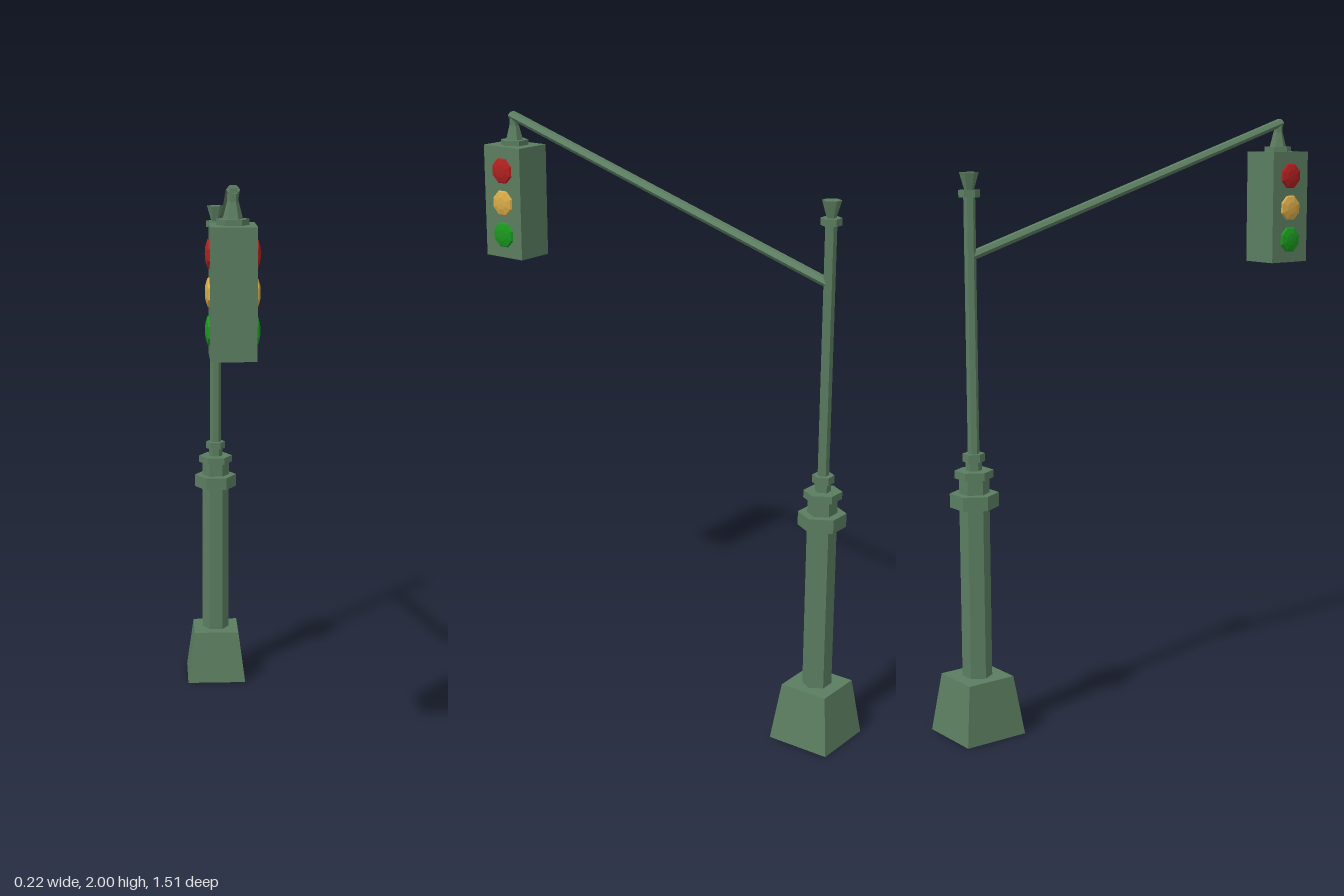
import * as THREE from 'three';

const POLE_Z = -0.643;
const LAMP_Z = 0.672;

export function createModel() {
  const model = new THREE.Group();
  model.name = 'trafficLight';

  const paint = (name, color) => {
    const m = new THREE.MeshStandardMaterial({ color, flatShading: true });
    m.name = name;
    return m;
  };
  const ironGreen = paint('ironGreen', 0x5b7d60);
  const red = paint('signalRed', 0xb02020);
  const amber = paint('signalAmber', 0xd8ab48);
  const green = paint('signalGreen', 0x1a981f);

  const add = (name, geometry, material, x, y, z, parent = model) => {
    const mesh = new THREE.Mesh(geometry, material);
    mesh.name = name;
    mesh.position.set(x, y, z);
    parent.add(mesh);
    return mesh;
  };

  // Six-sided section with corners on the x axis, from y0 to y1
  const hex = (name, y0, y1, rBottom, rTop, z, depth = 1) => {
    const g = new THREE.CylinderGeometry(rTop, rBottom, y1 - y0, 6);
    g.rotateY(Math.PI / 6).scale(1, 1, depth);
    return add(name, g, ironGreen, 0, (y0 + y1) / 2, z);
  };

  // Square tapered foot
  const foot = new THREE.CylinderGeometry(0.085 * Math.SQRT2, 0.111 * Math.SQRT2, 0.196, 4);
  foot.rotateY(Math.PI / 4);
  add('base', foot, ironGreen, 0, 0.098, POLE_Z);

  // Post, collars and finial
  hex('column', 0.196, 0.87, 0.051, 0.051, POLE_Z, 0.94);
  hex('largeCollar', 0.764, 0.81, 0.079, 0.079, POLE_Z);
  hex('middleCollar', 0.86, 0.885, 0.063, 0.063, POLE_Z);
  hex('neck', 0.885, 0.915, 0.026, 0.026, POLE_Z);
  hex('smallCollar', 0.914, 0.94, 0.036, 0.036, POLE_Z);
  hex('pole', 0.94, 1.757, 0.021, 0.021, POLE_Z, 0.85);
  hex('topCollar', 1.757, 1.78, 0.034, 0.034, POLE_Z);
  hex('finial', 1.78, 1.835, 0.015, 0.031, POLE_Z);

  // Sloping arm from the pole to above the signal
  const from = new THREE.Vector3(0, 1.572, POLE_Z);
  const to = new THREE.Vector3(0, 1.985, 0.682);
  const span = to.clone().sub(from);
  const armLength = span.length();
  const arm = hex('arm', 0, armLength, 0.021, 0.021, 0, 0.72);
  arm.position.copy(from).add(to).multiplyScalar(0.5);
  arm.rotation.x = Math.atan2(span.z, span.y);

  // Hanger
  hex('hangerFlange', 1.882, 1.9, 0.049, 0.049, LAMP_Z);
  hex('hangerCone', 1.9, 1.95, 0.03, 0.017, LAMP_Z);
  hex('hangerRod', 1.95, 1.988, 0.017, 0.017, LAMP_Z, 0.9);

  // Signal box with lenses on both sides
  add('signalBox', new THREE.BoxGeometry(0.138, 0.393, 0.167), ironGreen, 0, 1.686, LAMP_Z);
  const lens = new THREE.LatheGeometry(
    [[0.047, 0], [0.043, 0.006], [0.022, 0.012], [0, 0.0135]].map(p => new THREE.Vector2(...p)), 8);
  lens.rotateY(Math.PI / 8);
  const lights = [['redLens', red, 1.798], ['amberLens', amber, 1.684], ['greenLens', green, 1.571]];
  for (const [name, material, y] of lights) {
    for (const side of [1, -1]) {
      const mesh = add(name, lens, material, side * 0.069, y, LAMP_Z);
      mesh.rotation.z = -side * Math.PI / 2;
    }
  }
  return model;
}
